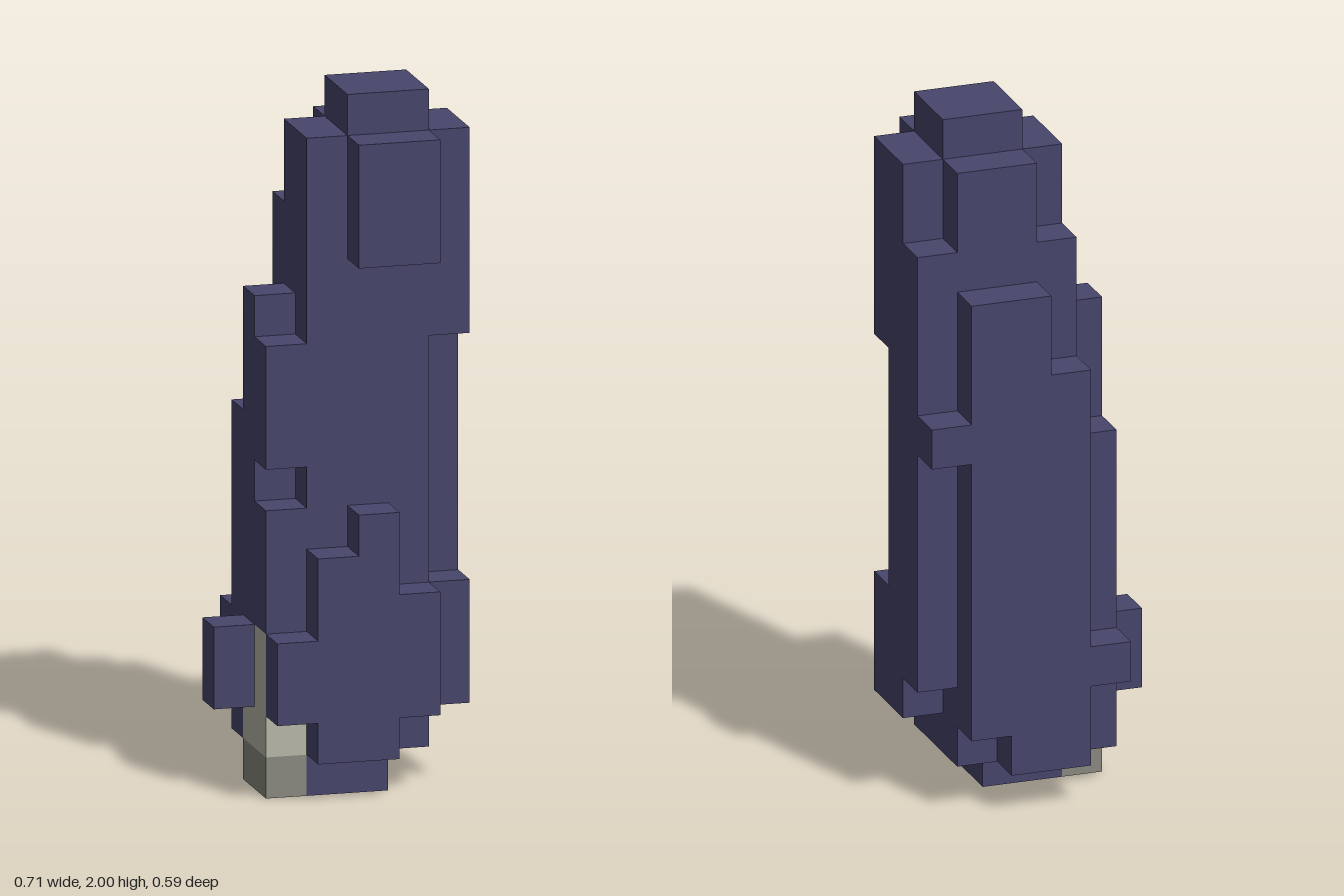
import * as THREE from 'three';

// One block is 1/17 of the height; boxes are [x0, x1, y0, y1, z0, z1] in blocks.
const U = 2 / 17;

export function createModel() {
  const model = new THREE.Group();
  model.name = 'blockPillar';

  const make = (name, color) => {
    const m = new THREE.MeshStandardMaterial({ color });
    m.name = name;
    return m;
  };
  const indigo = make('indigo', 0x47456b);
  const paleStone = make('paleStone', 0xb9b8a9);
  const darkStone = make('darkStone', 0x8a8980);

  const addPart = (name, material, boxes) => {
    const part = new THREE.Group();
    part.name = name;
    for (const [x0, x1, y0, y1, z0, z1] of boxes) {
      const geo = new THREE.BoxGeometry((x1 - x0) * U, (y1 - y0) * U, (z1 - z0) * U);
      geo.translate(((x0 + x1) / 2) * U, ((y0 + y1) / 2) * U, ((z0 + z1) / 2) * U);
      const mesh = new THREE.Mesh(geo, material);
      mesh.name = name + 'Block';
      part.add(mesh);
    }
    model.add(part);
  };

  // Central mass, with a step at the back right of the top
  addPart('core', indigo, [
    [-1, 2, 1, 14, -1.5, 1.5],
    [-1, 2, 14, 16, -0.5, 1.5],
    [0, 2, 14, 16, -1.5, -0.5],
  ]);
  addPart('cap', indigo, [[0, 2, 16, 17, -0.5, 1.5]]);
  addPart('foot', indigo, [[-1, 1, 0, 1, -0.5, 1.5]]);

  // Front ledges
  addPart('upperFrontPanel', indigo, [[0, 2, 13, 16, 1.5, 2.5]]);
  addPart('lowerFrontSteps', indigo, [
    [-2, -1, 2, 4, 1.5, 2.5],
    [-1, 0, 1, 6, 1.5, 2.5],
    [0, 1, 1, 7, 1.5, 2.5],
    [1, 2, 2, 5, 1.5, 2.5],
  ]);

  // Back slabs
  addPart('backSteps', indigo, [
    [-2, -1, 3, 4, -2.5, -1.5],
    [-1, 0, 1, 11, -2.5, -1.5],
    [0, 1, 1, 13, -2.5, -1.5],
    [1, 2, 2, 13, -2.5, -1.5],
  ]);

  // Left side (+x), with a tall slot near the front
  addPart('leftSide', indigo, [
    [2, 3, 2, 16, -0.5, 0.5],
    [2, 3, 3, 14, -1.5, -0.5],
    [2, 3, 11, 16, 0.5, 1.5],
    [2, 3, 2, 5, 0.5, 1.5],
  ]);
  addPart('leftKnob', indigo, [[2, 3, 9, 10, -2.5, -1.5]]);

  // Right side (-x), with a notch near the front
  addPart('rightSide', indigo, [
    [-2, -1, 1, 9, -1.5, -0.5],
    [-2, -1, 2, 12, -0.5, 0.5],
    [-2, -1, 8, 11, 0.5, 1.5],
    [-2, -1, 4, 7, 0.5, 1.5],
  ]);
  addPart('rightKnob', indigo, [[-3, -2, 2, 4, -0.5, 0.5]]);

  // Stone corner at the base
  addPart('paleCorner', paleStone, [
    [-2, -1, 1, 2, -0.5, 1.5],
    [-2, -1, 2, 4, 0.5, 1.5],
  ]);
  addPart('darkCorner', darkStone, [[-2, -1, 0, 1, -0.5, 1.5]]);

  return model;
}
